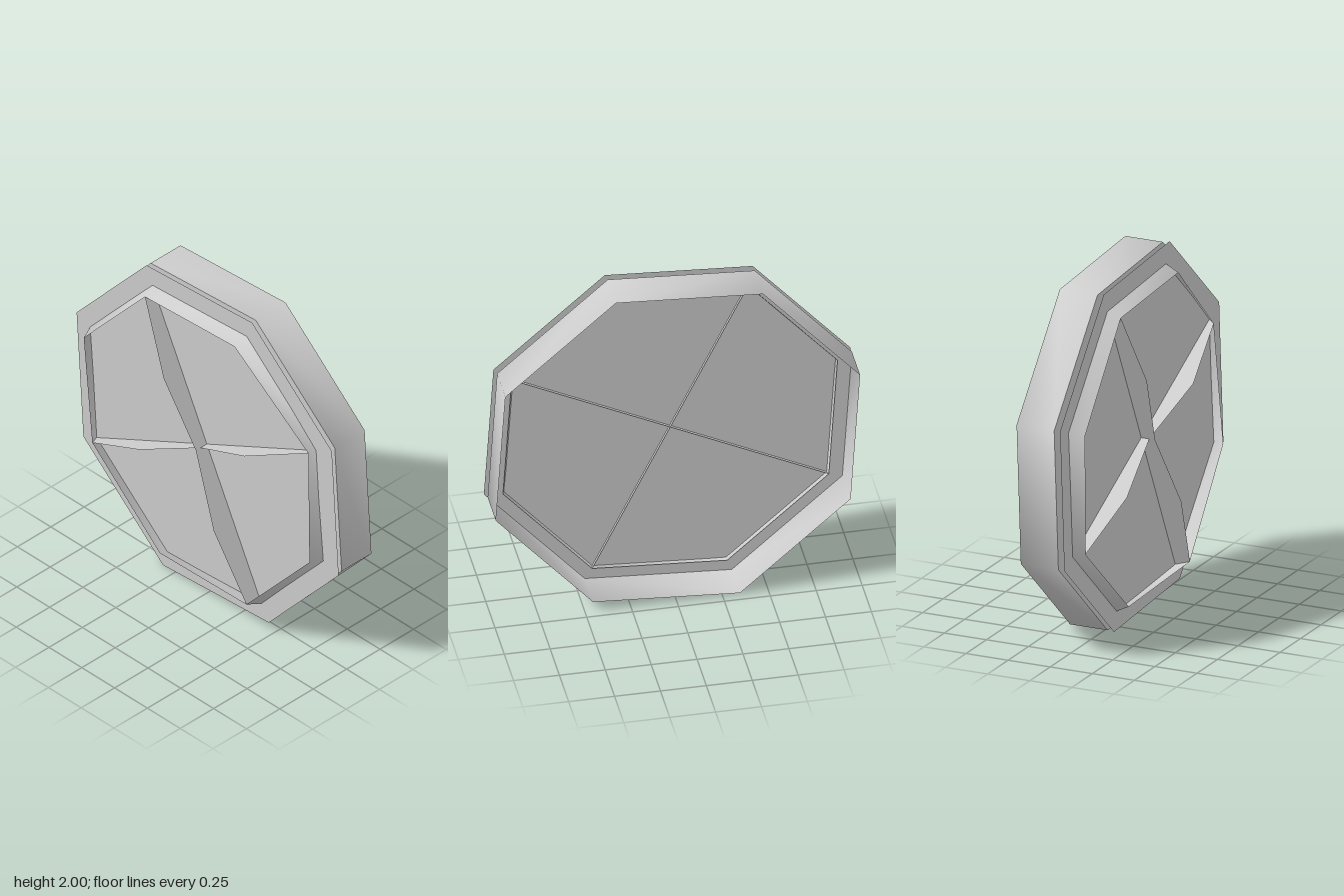
import * as THREE from 'three';

const SIDES = 8;
const CENTRE_Y = 1.0025;
const angleOf = (i) => THREE.MathUtils.degToRad(71.2 - 45 * i);
const material = new THREE.MeshStandardMaterial({ color: 0xcccccc, side: THREE.DoubleSide });

// Corner i of the tilted octagon, at radius r and depth z
const corner = (i, r, z) => [r * Math.cos(angleOf(i)), r * Math.sin(angleOf(i)), z];

function named(name, geometry) {
  const mesh = new THREE.Mesh(geometry, material);
  mesh.name = name;
  return mesh;
}

// Smooth closed band between a back and a front octagon
function band(name, backRadius, backZ, frontRadius, frontZ) {
  const positions = [], index = [];
  for (let i = 0; i < SIDES; i++) {
    positions.push(...corner(i, backRadius, backZ), ...corner(i, frontRadius, frontZ(i)));
    const a = 2 * i, b = 2 * ((i + 1) % SIDES);
    index.push(a, a + 1, b, b, a + 1, b + 1);
  }
  const geometry = new THREE.BufferGeometry();
  geometry.setAttribute('position', new THREE.Float32BufferAttribute(positions, 3));
  geometry.setIndex(index);
  geometry.computeVertexNormals();
  return named(name, geometry);
}

// Flat octagonal sheet at depth z
function sheet(name, radius, z) {
  const outline = [];
  for (let i = 0; i < SIDES; i++) {
    const [x, y] = corner(i, radius, z);
    outline.push(new THREE.Vector2(x, y));
  }
  const mesh = named(name, new THREE.ShapeGeometry(new THREE.Shape(outline)));
  mesh.position.z = z;
  return mesh;
}

export function createModel() {
  const model = new THREE.Group();
  model.name = 'octagonalShield';

  // Wall open at the back, closed at the front by a sheet
  const casing = new THREE.Group();
  casing.name = 'casing';
  casing.position.set(-0.007, CENTRE_Y, 0);
  casing.add(band('outerWall', 1.048, -0.2, 1.048, () => 0.023));
  casing.add(sheet('casingFront', 1.048, 0.023));
  model.add(casing);

  // Second sheet floating just ahead of the casing
  const panel = sheet('frontPanel', 1.055, 0.058);
  panel.position.y = CENTRE_Y;
  model.add(panel);

  // Sloping rim with an uneven front edge, passing through both sheets
  const relief = new THREE.Group();
  relief.name = 'relief';
  relief.position.set(-0.006, CENTRE_Y - 0.004, 0);
  const rimZ = [0.137, 0.095, 0.13, 0.153, 0.125, 0.12, 0.14, 0.13];
  relief.add(band('raisedRim', 0.963, 0.005, 0.903, (i) => rimZ[i]));
  model.add(relief);

  // Four thin peaked fins to every other corner: [corner, peak depth, centre depth]
  const fins = [[1, 0.172, 0.106], [3, 0.2, 0.14], [5, 0.168, 0.106], [7, 0.187, 0.14]];
  for (const [i, peak, centre] of fins) {
    const profile = [[0, 0.005], [0.963, 0.005], [0.903, rimZ[i]], [0.447, peak], [0, centre]];
    const shape = new THREE.Shape(profile.map(([r, z]) => new THREE.Vector2(r, z)));
    const geometry = new THREE.ShapeGeometry(shape);
    geometry.rotateX(Math.PI / 2);
    geometry.rotateZ(angleOf(i));
    relief.add(named('fin' + (i + 1) / 2, geometry));
  }

  return model;
}
